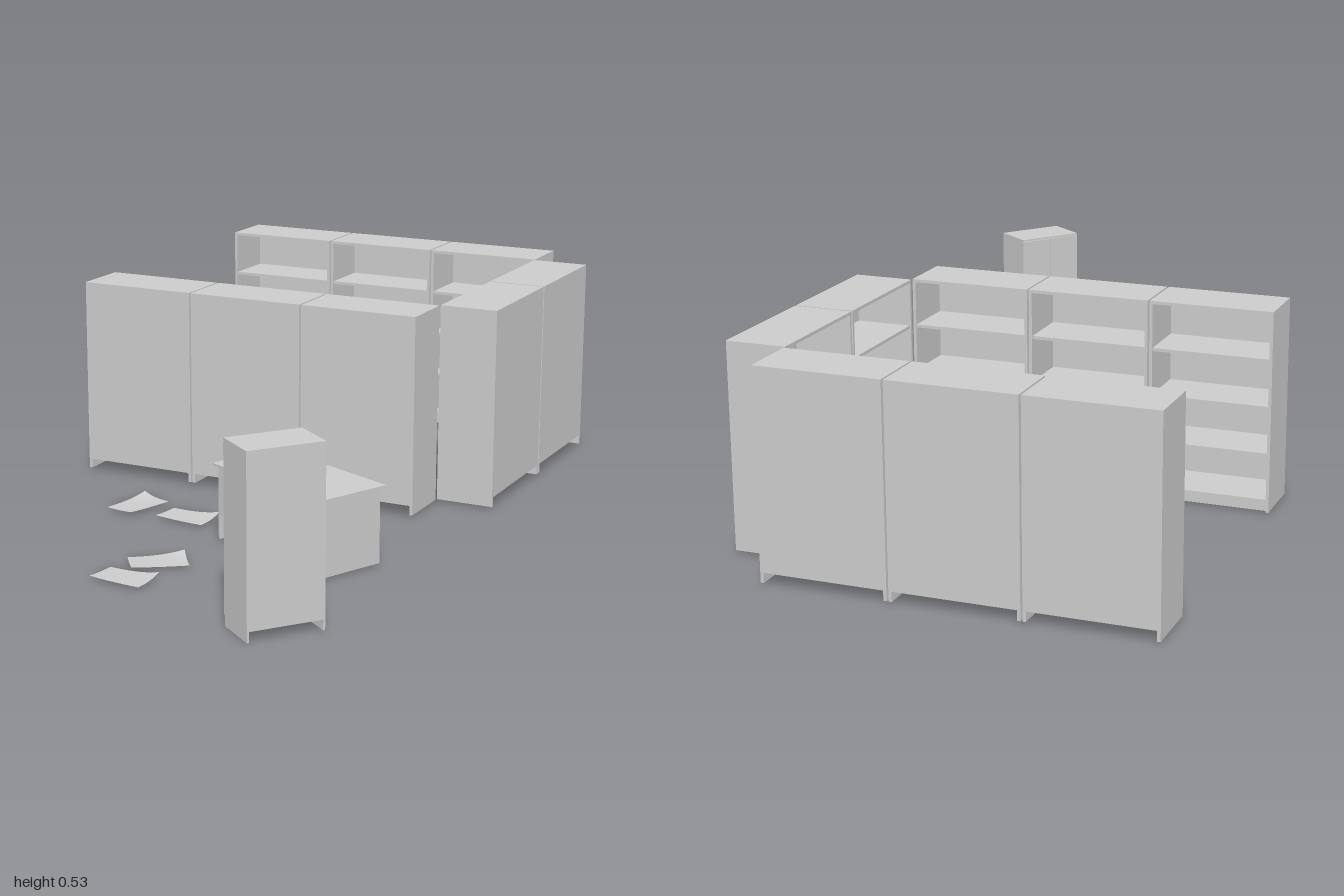
import * as THREE from 'three';

const material = new THREE.MeshStandardMaterial({ color: 0xcccccc, flatShading: true });
const sheetMaterial = new THREE.MeshStandardMaterial({ color: 0xcccccc, side: THREE.DoubleSide });

// Box given by its min and max corners
function board(parent, name, [x0, y0, z0], [x1, y1, z1]) {
  const mesh = new THREE.Mesh(new THREE.BoxGeometry(x1 - x0, y1 - y0, z1 - z0), material);
  mesh.position.set((x0 + x1) / 2, (y0 + y1) / 2, (z0 + z1) / 2);
  mesh.name = name;
  parent.add(mesh);
}

function place(root, part, name, x, y, z, angle) {
  part.name = name;
  part.position.set(x, y, z);
  part.rotation.y = angle;
  root.add(part);
}

// Open bookcase: the shelves face local +z
function makeBookcase(width) {
  const g = new THREE.Group();
  const w = width / 2, d = 0.0775, h = 0.523, t = 0.008, foot = 0.025;
  for (const s of [-1, 1]) {
    const a = s * w, b = s * (w - t);
    board(g, 'sidePanel', [Math.min(a, b), 0, -d], [Math.max(a, b), h - t, d]);
  }
  board(g, 'topPanel', [-w, h - t, -d], [w, h, d]);
  board(g, 'backPanel', [-w + t, foot, -d], [w - t, h - t, -d + 0.004]);
  board(g, 'kickPlate', [-w + t, 0, d - 0.018], [w - t, foot, d - 0.012]);
  const step = (h - t - foot) / 4;
  for (let i = 0; i < 4; i++) {
    const y = foot + i * step;
    board(g, 'shelf', [-w + t, y, -d + 0.004], [w - t, y + t, d - 0.003]);
  }
  return g;
}

// Desk: modesty panel at local +z, open pedestal shelves facing local -z
function makeDesk() {
  const g = new THREE.Group();
  const w = 0.196, d = 0.093, top = 0.19, t = 0.006, px = 0.062;
  board(g, 'deskTop', [-0.205, top, -0.104], [0.205, top + 0.006, 0.104]);
  board(g, 'leftEndPanel', [-w, 0, -d], [-w + t, top, d]);
  board(g, 'rightEndPanel', [w - t, 0, -d], [w, top, d]);
  board(g, 'pedestalSide', [px, 0, -d], [px + t, top, d]);
  board(g, 'pedestalBack', [px + t, 0, d - t], [w - t, top, d]);
  board(g, 'modestyPanel', [-w + t, 0.063, d - t], [px, top, d]);
  for (let i = 0; i < 4; i++) {
    const y = 0.008 + i * 0.045;
    board(g, 'pedestalShelf', [px + t, y, -d + 0.003], [w - t, y + 0.005, d - t]);
  }
  return g;
}

// Tall cabinet: two doors with loop handles on local +z
function makeCabinet() {
  const g = new THREE.Group();
  const w = 0.095, d = 0.06, h = 0.433, t = 0.005, foot = 0.025;
  board(g, 'leftSide', [w - t, 0, -d], [w, h - t, d - t]);
  board(g, 'rightSide', [-w, 0, -d], [-w + t, h - t, d - t]);
  board(g, 'cabinetTop', [-w, h - t, -d], [w, h, d]);
  board(g, 'cabinetBack', [-w + t, foot, -d], [w - t, h - t, -d + 0.004]);
  board(g, 'cabinetFloor', [-w + t, foot, -d + 0.004], [w - t, foot + t, d - t]);
  board(g, 'kickPlate', [-w + t, 0, d - 0.018], [w - t, foot, d - 0.012]);
  for (const s of [-1, 1]) {
    const a = s * 0.001, b = s * w;
    board(g, 'door', [Math.min(a, b), foot, d - t], [Math.max(a, b), h - t - 0.002, d]);
    const x = s * 0.01;
    const path = new THREE.CatmullRomCurve3([
      new THREE.Vector3(x, 0.208, d),
      new THREE.Vector3(x, 0.213, d + 0.009),
      new THREE.Vector3(x, 0.233, d + 0.009),
      new THREE.Vector3(x, 0.238, d),
    ]);
    const handle = new THREE.Mesh(new THREE.TubeGeometry(path, 12, 0.0016, 8), material);
    handle.name = 'handle';
    g.add(handle);
  }
  return g;
}

// Loose sheet with its corners curling up
function makeSheet() {
  const geo = new THREE.PlaneGeometry(0.14, 0.086, 14, 10).rotateX(-Math.PI / 2);
  const p = geo.attributes.position;
  for (let i = 0; i < p.count; i++) {
    const u = p.getX(i) / 0.07, v = p.getZ(i) / 0.043;
    const near = Math.max(0, (u - v) / 2), far = Math.max(0, (v - u) / 2);
    p.setY(i, 0.006 + 0.012 * near ** 3 + 0.004 * far ** 3);
  }
  geo.computeVertexNormals();
  return new THREE.Mesh(geo, sheetMaterial);
}

export function createModel() {
  const root = new THREE.Group();

  // Two facing rows of three bookcases
  for (let i = 0; i < 3; i++) {
    const x = -0.406 + i * 0.326;
    place(root, makeBookcase(0.321), 'backRowBookcase', x, 0.005, -0.9225, 0);
    place(root, makeBookcase(0.321), 'frontRowBookcase', x, 0.005, -0.0615, Math.PI);
  }
  // Two bookcases closing the side
  for (const z of [-0.666, -0.317]) {
    place(root, makeBookcase(0.343), 'sideBookcase', 0.485, 0.005, z, -Math.PI / 2);
  }

  place(root, makeDesk(), 'desk', 0.267, 0.004, 0.397, -0.42);
  place(root, makeCabinet(), 'cabinet', 0.453, 0, 0.885, Math.atan2(-0.79, -0.61));

  // Sheets scattered on the floor: x, z, angle
  for (const [x, z, a] of [
    [-0.27, 0.255, 1.33], [-0.104, 0.287, -0.07], [0.007, 0.628, 0.645], [-0.008, 0.762, -0.07],
  ]) place(root, makeSheet(), 'looseSheet', x, 0, z, a);

  return root;
}
